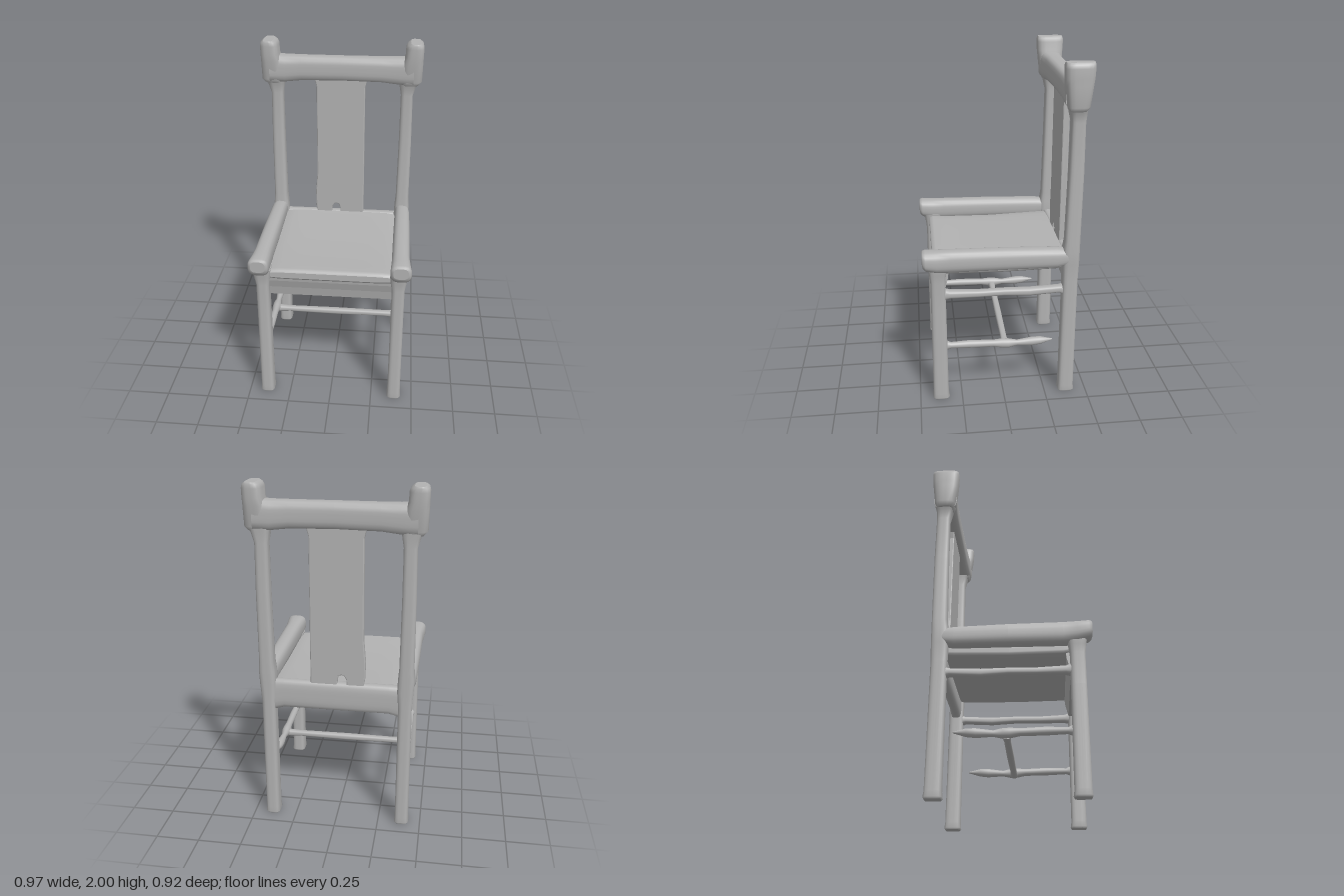
import * as THREE from 'three';

const wood = new THREE.MeshStandardMaterial({ color: 0xb2b2b2 });
wood.name = 'plain wood';

// Swept bar with rounded-rectangle sections [t, a, b, halfA, halfB].
// Axis y: a = x, b = z.  Axis z: a = y, b = x.  Axis x: a = z, b = y.
function loft(axis, sections, power = 5, n = 24) {
  const pos = [], idx = [];
  const put = (a, t, b) => {
    pos.push(...(axis === 'y' ? [a, t, b] : axis === 'z' ? [b, a, t] : [t, b, a]));
    return pos.length / 3 - 1;
  };
  const ring = ([t, a, b, ha, hb]) => {
    const first = pos.length / 3;
    for (let i = 0; i < n; i++) {
      const th = ((i + 0.5) / n) * Math.PI * 2, c = Math.cos(th), s = Math.sin(th);
      const r = Math.pow(Math.abs(c) ** power + Math.abs(s) ** power, -1 / power);
      put(a + ha * r * c, t, b + hb * r * s);
    }
    return first;
  };
  const starts = sections.map(ring);
  for (let j = 0; j + 1 < starts.length; j++) {
    for (let i = 0; i < n; i++) {
      const k = (i + 1) % n, p = starts[j], q = starts[j + 1];
      idx.push(p + i, q + i, p + k, q + i, q + k, p + k);
    }
  }
  // End caps keep their own vertices so the edges stay crisp
  [sections[0], sections[sections.length - 1]].forEach((sec, end) => {
    const f = ring(sec), c = put(sec[1], sec[0], sec[2]);
    for (let i = 0; i < n; i++) {
      const k = (i + 1) % n;
      if (end) idx.push(c, f + k, f + i);
      else idx.push(c, f + i, f + k);
    }
  });
  const g = new THREE.BufferGeometry();
  g.setAttribute('position', new THREE.Float32BufferAttribute(pos, 3));
  g.setIndex(idx);
  g.computeVertexNormals();
  return g;
}

function polygon(points) {
  return new THREE.Shape(points.map(([x, y]) => new THREE.Vector2(x, y)));
}

export function createModel() {
  const chair = new THREE.Group();
  chair.name = 'chair';
  const add = (name, geometry) => {
    const m = new THREE.Mesh(geometry, wood);
    m.name = name;
    chair.add(m);
  };

  for (const s of [1, -1]) {
    const side = s > 0 ? 'left' : 'right';
    const x = 0.39 * s;

    // Legs and back posts
    add(side + 'FrontLeg', loft('y', [
      [0, x, 0.375, 0.036, 0.044], [0.01, x, 0.375, 0.042, 0.049], [0.04, x, 0.376, 0.039, 0.045],
      [0.6, x, 0.375, 0.037, 0.043], [0.78, x, 0.375, 0.037, 0.042], [0.83, x, 0.375, 0.046, 0.048],
      [0.88, x, 0.375, 0.05, 0.055],
    ]));
    add(side + 'BackPost', loft('y', [
      [0, x, -0.38, 0.036, 0.043], [0.01, x, -0.38, 0.042, 0.049], [0.04, x, -0.38, 0.039, 0.045],
      [0.75, x, -0.38, 0.038, 0.044], [0.86, x, -0.38, 0.046, 0.047], [0.94, x * 1.01, -0.38, 0.046, 0.047],
      [1.0, x * 1.01, -0.385, 0.041, 0.043], [1.4, x * 1.015, -0.39, 0.038, 0.041],
      [1.68, x * 1.01, -0.39, 0.036, 0.039], [1.74, x * 1.02, -0.385, 0.05, 0.047],
      [1.79, x * 1.04, -0.38, 0.065, 0.055],
    ]));

    // Upturned block at each end of the top rail
    add(side + 'RailEnd', loft('y', [
      [1.745, x * 1.05, -0.38, 0.05, 0.045], [1.77, x * 1.07, -0.38, 0.063, 0.06],
      [1.88, x * 1.08, -0.38, 0.061, 0.073], [1.92, 0.43 * s, -0.38, 0.053, 0.077],
      [1.97, 0.431 * s, -0.38, 0.053, 0.079], [1.99, 0.434 * s, -0.38, 0.045, 0.078],
      [2.0, 0.435 * s, -0.38, 0.03, 0.074],
    ], 4));

    // Heavy rail beside the seat with a knobbed front end
    add(side + 'SeatSideRail', loft('z', [
      [-0.38, 0.9, x * 1.01, 0.045, 0.042], [-0.3, 0.898, x * 1.02, 0.058, 0.047],
      [0, 0.903, x * 1.02, 0.062, 0.05], [0.3, 0.905, x * 1.02, 0.064, 0.051],
      [0.38, 0.908, x * 1.025, 0.062, 0.056], [0.44, 0.916, x * 1.03, 0.055, 0.06],
      [0.455, 0.922, x * 1.03, 0.045, 0.054], [0.46, 0.925, x * 1.03, 0.034, 0.042],
    ], 3));

    // Slim rail under the seat
    add(side + 'LowerSideRail', loft('z', [
      [-0.36, 0.69, x, 0.038, 0.034], [-0.32, 0.692, x, 0.022, 0.025], [-0.15, 0.684, x, 0.023, 0.025],
      [0, 0.69, x, 0.02, 0.024], [0.15, 0.688, x, 0.02, 0.024], [0.31, 0.692, x, 0.024, 0.026],
      [0.36, 0.695, x, 0.04, 0.034],
    ], 3));

    // Turned stretcher ending in a free point at the back
    add(side + 'SideStretcher', loft('z', [
      [-0.29, 0.352, x, 0.004, 0.004], [-0.22, 0.35, x, 0.023, 0.022], [-0.17, 0.347, x, 0.026, 0.024],
      [-0.08, 0.343, x, 0.017, 0.016], [-0.03, 0.343, x, 0.028, 0.025], [0.01, 0.345, x, 0.028, 0.025],
      [0.06, 0.348, x, 0.021, 0.02], [0.2, 0.352, x, 0.023, 0.022], [0.31, 0.352, x, 0.018, 0.018],
      [0.36, 0.355, x, 0.04, 0.032],
    ], 2));
  }

  // Seat board, slightly dished
  add('seat', loft('z', [
    [-0.38, 0.842, 0, 0.04, 0.37], [-0.3, 0.838, 0, 0.04, 0.37], [0, 0.83, 0, 0.036, 0.37],
    [0.3, 0.835, 0, 0.036, 0.37], [0.375, 0.845, 0, 0.035, 0.37], [0.395, 0.845, 0, 0.027, 0.36],
    [0.4, 0.845, 0, 0.018, 0.35],
  ], 8, 32));

  // Front apron, leaning inward toward the bottom
  const apron = new THREE.ExtrudeGeometry(polygon([
    [0.31, 0.85], [0.315, 0.78], [0.335, 0.7], [0.365, 0.695], [0.375, 0.75], [0.39, 0.8], [0.398, 0.86],
  ]), { depth: 0.72, bevelEnabled: false });
  apron.translate(0, 0, -0.36).rotateY(-Math.PI / 2);
  add('frontApron', apron);

  // Back apron between the posts
  add('backApron', loft('x', [
    [-0.37, -0.38, 0.79, 0.034, 0.095], [-0.3, -0.38, 0.8, 0.032, 0.085],
    [0.3, -0.38, 0.8, 0.032, 0.085], [0.37, -0.38, 0.79, 0.034, 0.095],
  ], 4));

  // Cross stretcher joining the two side stretchers
  add('crossStretcher', loft('x', [
    [-0.39, -0.01, 0.333, 0.023, 0.021], [-0.3, -0.01, 0.333, 0.018, 0.016], [0, -0.01, 0.332, 0.02, 0.019],
    [0.3, -0.01, 0.333, 0.018, 0.016], [0.39, -0.01, 0.333, 0.023, 0.021],
  ], 3));

  // Top rail, deeper toward the ends
  add('topRail', loft('x', [
    [-0.43, -0.38, 1.83, 0.068, 0.083], [-0.34, -0.382, 1.828, 0.063, 0.079], [-0.24, -0.38, 1.833, 0.057, 0.073],
    [0, -0.378, 1.835, 0.054, 0.071], [0.24, -0.38, 1.833, 0.057, 0.073], [0.34, -0.382, 1.828, 0.063, 0.079],
    [0.43, -0.38, 1.83, 0.068, 0.083],
  ], 4));

  // Back splat with a small notch at its foot
  const splat = new THREE.ExtrudeGeometry(polygon([
    [-0.155, 0.87], [-0.06, 0.87], [-0.058, 0.91], [-0.045, 0.933], [-0.03, 0.937], [-0.015, 0.93],
    [-0.006, 0.9], [-0.006, 0.87], [0.145, 0.87], [0.145, 1.1], [0.142, 1.72], [0.16, 1.79],
    [-0.17, 1.79], [-0.153, 1.72], [-0.154, 1.15], [-0.165, 1.02], [-0.163, 0.92],
  ]), { depth: 0.028, bevelEnabled: true, bevelSize: 0.006, bevelOffset: -0.006, bevelThickness: 0.006, bevelSegments: 2 });
  splat.translate(0, 0, -0.395);
  add('backSplat', splat);

  return chair;
}
